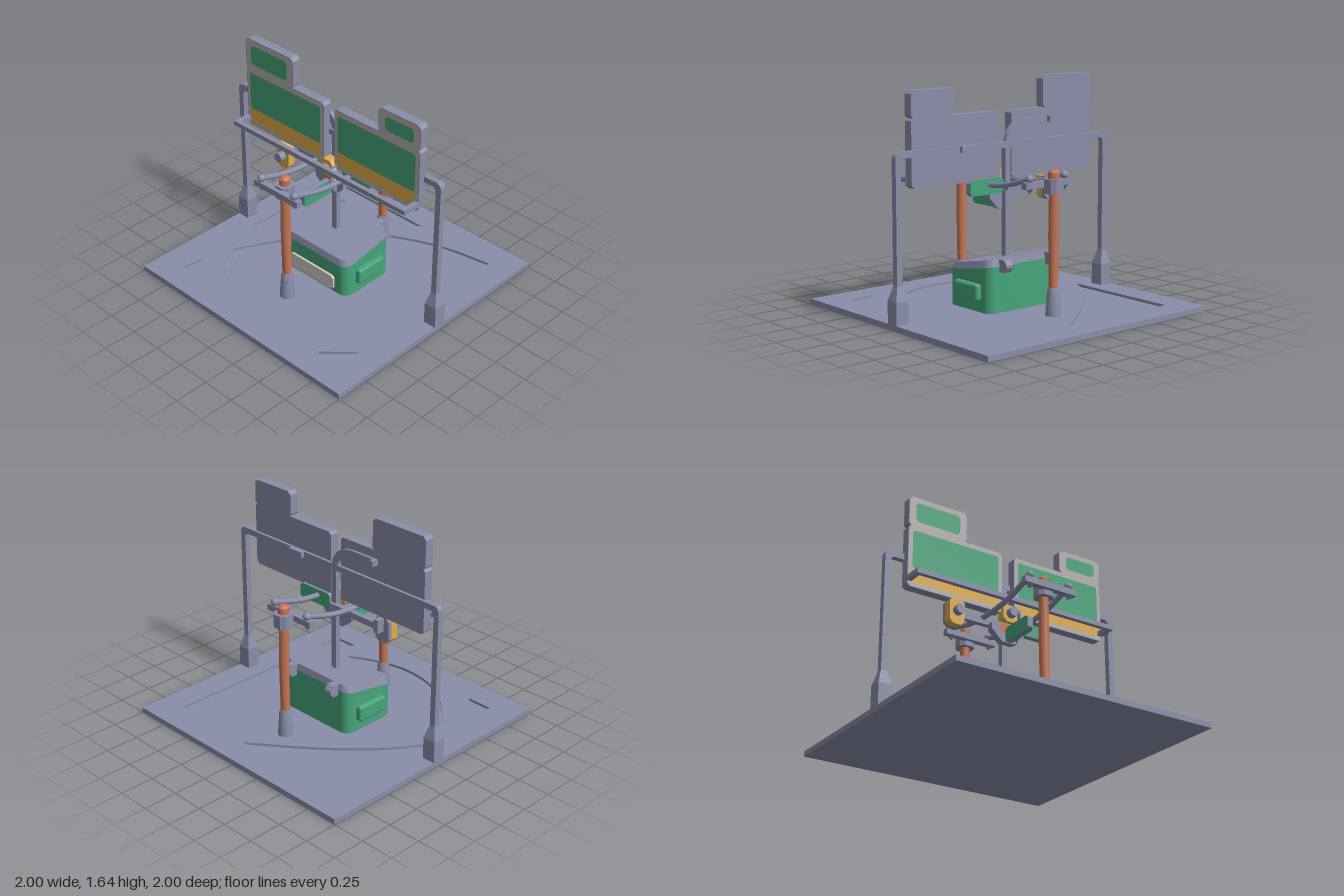
import * as THREE from 'three';
import { toCreasedNormals } from 'three/addons/utils/BufferGeometryUtils.js';
import { RoundedBoxGeometry } from 'three/addons/geometries/RoundedBoxGeometry.js';

const mat = (name, color) => Object.assign(new THREE.MeshStandardMaterial({ color }), { name });
const grey = mat('slate grey', 0x8a8da9);
const green = mat('green', 0x46a47a);
const copper = mat('copper', 0xc57655);
const ochre = mat('ochre', 0xdfab4a);
const taupe = mat('panel border', 0xb6b0b0);
const white = mat('pale plate', 0xd0cbc8);

const V3 = (x, y, z) => new THREE.Vector3(x, y, z);
const points = (pts) => pts.map(([x, y]) => new THREE.Vector2(x, y));
const poly = (pts) => new THREE.Shape(points(pts));

// Rectangle with cut corners
function cutRect(x0, x1, y0, y1, c) {
  return poly([[x0 + c, y0], [x1 - c, y0], [x1, y0 + c], [x1, y1 - c],
    [x1 - c, y1], [x0 + c, y1], [x0, y1 - c], [x0, y0 + c]]);
}

export function createModel() {
  const root = new THREE.Group();
  root.name = 'signalStand';

  const add = (name, geo, material, x = 0, y = 0, z = 0) => {
    const m = new THREE.Mesh(geo, material);
    m.name = name;
    m.position.set(x, y, z);
    root.add(m);
  };
  // Box given by its minimum and maximum on each axis
  const box = (name, material, x0, x1, y0, y1, z0, z1) => add(name,
    new THREE.BoxGeometry(x1 - x0, y1 - y0, z1 - z0), material, (x0 + x1) / 2, (y0 + y1) / 2, (z0 + z1) / 2);
  const extrude = (shape, depth) => new THREE.ExtrudeGeometry(shape, { depth, bevelEnabled: false, curveSegments: 10 });
  // Plate drawn in (z, y), running from x = x0 to x = x1
  const sidePlate = (name, shape, x0, x1, material) =>
    add(name, extrude(shape, x1 - x0).rotateY(-Math.PI / 2), material, x1);
  // Single face drawn in (z, y), looking towards -x
  const sideFace = (name, shape, x, material) =>
    add(name, new THREE.ShapeGeometry(shape).rotateY(-Math.PI / 2), material, x);
  // Plate drawn in (x, y), running from z = z0 to z = z1
  const frontPlate = (name, shape, z0, z1, material) => add(name, extrude(shape, z1 - z0), material, 0, 0, z0);

  // Base slab with shallow recesses
  box('baseFloor', grey, -1, 1, 0, 0.02, -1, 1);
  const slab = poly([[-1, -1], [1, -1], [1, 1], [-1, 1]]);
  const drop = new THREE.Path();
  drop.moveTo(-0.4, -0.69);
  drop.splineThru(points([[-0.02, -0.48], [0.33, -0.2], [0.54, 0.03], [0.71, 0.4], [0.79, 0.8]]));
  drop.lineTo(-0.2, 0.79);
  drop.splineThru(points([[-0.52, 0.63], [-0.72, 0.36], [-0.8, 0], [-0.7, -0.36], [-0.4, -0.69]]));
  const wedge = new THREE.Path();
  wedge.moveTo(-0.11, -0.8);
  wedge.lineTo(0.8, -0.8);
  wedge.lineTo(0.8, 0.13);
  wedge.splineThru(points([[0.46, -0.31], [0.14, -0.63], [-0.11, -0.8]]));
  slab.holes.push(drop, wedge,
    poly([[-0.8, -0.79], [-0.64, -0.76], [-0.8, -0.59]]),
    poly([[-0.8, 0.59], [-0.6, 0.8], [-0.8, 0.8]]));
  add('baseTop', extrude(slab, 0.02).rotateX(Math.PI / 2), grey, 0, 0.04);

  // Gantry frame: one rounded arch with flared feet
  const arch = new THREE.Shape();
  const o = 0.972, n = 0.928, t = 1.2, b = 1.156;
  arch.moveTo(-o, 0.04);
  arch.lineTo(-n, 0.04);
  arch.lineTo(-n, b - 0.02);
  arch.lineTo(-n + 0.02, b);
  arch.lineTo(n - 0.02, b);
  arch.lineTo(n, b - 0.02);
  arch.lineTo(n, 0.04);
  arch.lineTo(o, 0.04);
  arch.lineTo(o, t - 0.05);
  arch.quadraticCurveTo(o, t, o - 0.05, t);
  arch.lineTo(-o + 0.05, t);
  arch.quadraticCurveTo(-o, t, -o, t - 0.05);
  sidePlate('gantryFrame', arch, -0.022, 0.022, grey);
  for (const s of [-1, 1]) {
    box('gantryFoot', grey, -0.05, 0.05, 0.04, 0.2, s * 0.95 - 0.05, s * 0.95 + 0.05);
    const taper = new THREE.CylinderGeometry(0.022 * Math.SQRT2, 0.05 * Math.SQRT2, 0.1, 4).rotateY(Math.PI / 4);
    add('gantryFootTaper', toCreasedNormals(taper, 0.1), grey, 0, 0.25, s * 0.95);
  }

  // Centre pole and curved brace beside the panels
  box('centrePole', grey, -0.022, 0.022, 0.34, 1.18, -0.022, 0.022);
  const brace = new THREE.Shape();
  brace.moveTo(0.022, 1.15);
  brace.quadraticCurveTo(0.02, 1.355, -0.2, 1.355);
  brace.lineTo(-0.4, 1.355);
  brace.lineTo(-0.4, 1.312);
  brace.lineTo(-0.2, 1.312);
  brace.quadraticCurveTo(-0.03, 1.31, -0.022, 1.15);
  sidePlate('curvedBrace', brace, -0.01, 0.022, grey);
  box('braceCap', grey, 0, 0.05, 1.312, 1.355, -0.4, -0.37);
  box('railCap', grey, 0, 0.05, 1.156, 1.2, 0.3, 0.43);

  // Sign panels, coloured on the -x face
  for (const [s, tabIn, top] of [[1, 0.455, 1.6], [-1, 0.35, 1.645]]) {
    const rect = (z0, z1, y0, y1, c) => s > 0 ? cutRect(z0, z1, y0, y1, c) : cutRect(-z1, -z0, y0, y1, c);
    sidePlate('panel', rect(0.05, 0.825, 0.94, 1.415, 0.02), -0.07, 0, grey);
    sidePlate('panelTab', rect(tabIn, 0.825, 1.405, top, 0.025), -0.07, 0, grey);
    sideFace('panelBorder', rect(0.055, 0.82, 0.945, 1.41, 0.018), -0.0715, taupe);
    sideFace('tabBorder', rect(tabIn + 0.005, 0.82, 1.41, top - 0.005, 0.022), -0.0715, taupe);
    sideFace('panelStripe', rect(0.085, 0.79, 0.975, 1.085, 0.006), -0.0735, ochre);
    sideFace('panelField', rect(0.085, 0.79, 1.085, 1.375, 0.012), -0.0735, green);
    sideFace('tabField', rect(tabIn + 0.06, 0.77, 1.45, top - 0.045, 0.02), -0.0735, green);
    box('ledgeEnd', grey, -0.21, -0.06, 0.98, 1.015, s * 0.81 - 0.018, s * 0.81 + 0.018);
  }
  box('ledgeRail', grey, -0.21, -0.175, 0.98, 1.015, -0.828, 0.828);

  // Copper posts with feet, collars and crossbars
  const foot = [[0, 0.04], [0.056, 0.04], [0.05, 0.12], [0.043, 0.21], [0.036, 0.24], [0, 0.24]];
  const shaft = [[0, 0.22], [0.032, 0.22], [0.037, 0.6], [0.034, 0.9], [0.04, 1.0], [0.04, 1.035], [0.02, 1.052], [0, 1.052]];
  const lathe = (pts) => toCreasedNormals(new THREE.LatheGeometry(points(pts), 20), 0.6);
  for (const s of [-1, 1]) {
    const x = s * 0.5, cx = x - 0.068;
    add('postFoot', lathe(foot), grey, x);
    add('copperPost', lathe(shaft), copper, x);
    const collar = extrude(cutRect(-0.062, 0.062, -0.062, 0.062, 0.03), 0.1).rotateX(Math.PI / 2);
    add('postCollar', collar, grey, x, 0.99);
    box('crossbar', grey, cx - 0.024, cx + 0.024, 0.927, 0.973, -0.21, 0.21);
    for (const z of [-0.16, 0.16]) {
      add('rodBall', new THREE.SphereGeometry(0.03, 12, 8), grey, cx, 0.995, z);
      add('rodPin', new THREE.CylinderGeometry(0.015, 0.015, 0.06, 8), grey, cx, 0.96, z);
      add('pinTip', new THREE.ConeGeometry(0.028, 0.04, 8).rotateX(Math.PI), grey, cx, 0.91, z);
    }
  }
  // Sagging rods
  for (const z of [-0.16, 0.16]) {
    const sag = [[-0.568, 0.993], [-0.32, 0.925], [-0.07, 0.905], [0.18, 0.925], [0.432, 0.993]];
    const curve = new THREE.CatmullRomCurve3(sag.map(([x, y]) => V3(x, y, z)));
    add('saggingRod', new THREE.TubeGeometry(curve, 24, 0.02, 10), grey);
  }

  // Hub under the panels, with a copper face and pale gusset
  sidePlate('hub', poly([[-0.05, 0.72], [0.05, 0.72], [0.135, 0.8], [0.135, 0.85], [0.1, 0.87], [-0.1, 0.87], [-0.135, 0.85], [-0.135, 0.8]]), -0.07, -0.015, grey);
  sideFace('hubFace', cutRect(-0.07, 0.07, 0.79, 0.865, 0.02), -0.0715, copper);
  frontPlate('hubGusset', poly([[-0.14, 0.82], [-0.06, 0.73], [-0.02, 0.73], [-0.02, 0.97], [-0.12, 0.97]]), 0.062, 0.075, grey);
  frontPlate('gussetFace', poly([[-0.115, 0.96], [-0.085, 0.79], [-0.075, 0.96]]), 0.075, 0.077, white);

  // Ochre clasps with knobs
  for (const [z, y0, y1, x1] of [[0, 0.87, 1.0, -0.03], [-0.44, 0.74, 0.94, -0.04]]) {
    sidePlate('clasp', cutRect(z - 0.06, z + 0.06, y0, y1, 0.03), -0.1, x1, ochre);
    add('claspKnob', new THREE.CylinderGeometry(0.036, 0.036, 0.05, 16).rotateZ(Math.PI / 2), grey, -0.125, (y0 + y1) / 2, z);
  }
  // Arm to the outer clasp
  box('claspArm', grey, 0.005, 0.045, 0.857, 0.903, -0.45, 0.02);
  box('claspStrap', grey, -0.01, 0.05, 0.83, 0.93, -0.455, -0.415);
  sidePlate('claspBacking', cutRect(-0.5, -0.38, 0.74, 0.94, 0.03), -0.04, -0.01, grey);

  // Two flag plates, green on both faces
  const flagA = cutRect(-0.34, -0.06, 0.72, 0.83, 0.02);
  frontPlate('flagCore', flagA, -0.018, 0.018, grey);
  frontPlate('flagFace', flagA, 0.018, 0.022, green);
  frontPlate('flagFace', flagA, -0.022, -0.018, green);
  const flagB = cutRect(0.04, 0.34, 0.84, 0.952, 0.02);
  sidePlate('flagCore', flagB, -0.018, 0.018, grey);
  sidePlate('flagFace', flagB, 0.018, 0.022, green);
  sidePlate('flagFace', flagB, -0.022, -0.018, green);

  // Green case with rounded corners, its top following the sloping lid
  const plan = new THREE.Shape();
  const x0 = -0.242, x1 = 0.215, zw = 0.33, r = 0.07;
  plan.absarc(x1 - r, zw - r, r, 0, Math.PI / 2);
  plan.absarc(x0 + r, zw - r, r, Math.PI / 2, Math.PI);
  plan.absarc(x0 + r, r - zw, r, Math.PI, Math.PI * 1.5);
  plan.absarc(x1 - r, r - zw, r, Math.PI * 1.5, Math.PI * 2);
  const slope = (x) => 0.29 + (x - x0) * 0.175;
  const slanted = (low, high, inset) => {
    const g = extrude(plan, 1).rotateX(-Math.PI / 2);
    const p = g.attributes.position;
    for (let i = 0; i < p.count; i++) {
      const x = p.getX(i), z = p.getZ(i), up = p.getY(i) > 0.5, k = up ? inset : 1;
      p.setXYZ(i, x * k, up ? high(x) : low(x), z * k);
    }
    return toCreasedNormals(g, 0.5);
  };
  add('caseBody', slanted(() => 0.04, slope, 1), green);
  add('caseLid', slanted(slope, (x) => slope(x) + 0.05, 0.95), grey);
  for (const s of [-1, 1]) {
    add('caseHandle', new RoundedBoxGeometry(0.26, 0.12, 0.06, 2, 0.02), green, -0.01, 0.18, s * 0.34);
    frontPlate('caseLatch', poly([[0.2, 0.33], [0.265, 0.33], [0.288, 0.365], [0.288, 0.385], [0.26, 0.418], [0.2, 0.418]]),
      s * 0.21 - 0.03, s * 0.21 + 0.03, grey);
  }
  sidePlate('caseLabel', cutRect(-0.22, 0.22, 0.065, 0.18, 0.02), -0.26, -0.235, white);

  return root;
}
